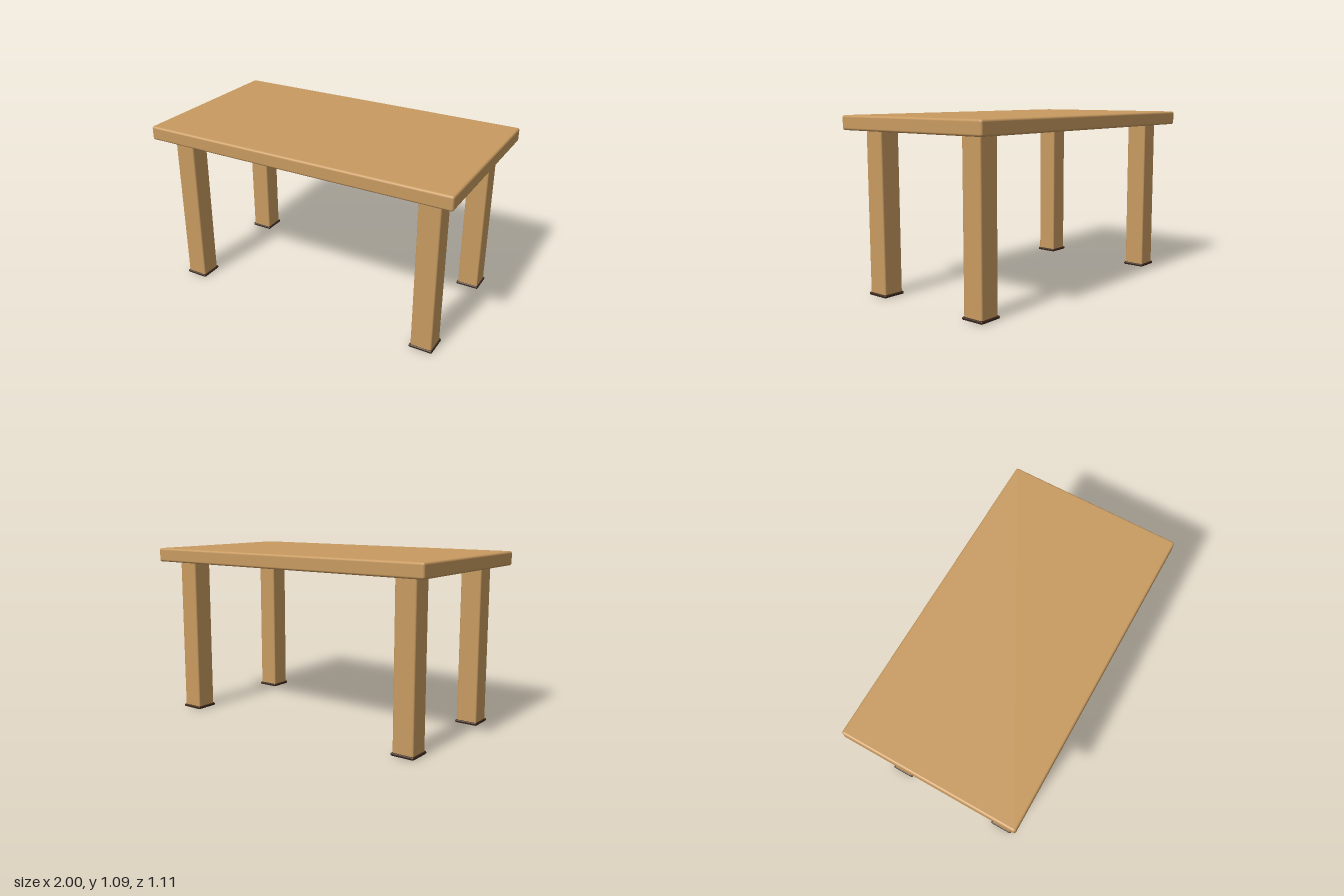
import * as THREE from 'three';
import { RoundedBoxGeometry } from 'three/addons/geometries/RoundedBoxGeometry.js';

export function createModel() {
  const wood = new THREE.MeshStandardMaterial({ color: 0xc89a60 });
  wood.name = 'oak wood';
  const dark = new THREE.MeshStandardMaterial({ color: 0x3a261a });
  dark.name = 'dark brown';

  const table = new THREE.Group();
  table.name = 'table';

  // Rounded block given by its size and its lower and upper heights
  const block = (name, width, depth, y0, y1, radius, material) => {
    const geometry = new RoundedBoxGeometry(width, y1 - y0, depth, 4, radius);
    const mesh = new THREE.Mesh(geometry, material);
    mesh.name = name;
    mesh.position.y = (y0 + y1) / 2;
    return mesh;
  };

  // Table top
  table.add(block('tableTop', 2, 1.11, 1.002, 1.09, 0.014, wood));

  // Four square legs, each with a dark band just above the floor
  for (const [side, x] of [['Left', 0.835], ['Right', -0.835]]) {
    for (const [end, z] of [['front', 0.39], ['back', -0.39]]) {
      const leg = new THREE.Group();
      leg.name = `${end}${side}Leg`;
      leg.add(block('post', 0.134, 0.134, 0, 1.003, 0.01, wood));
      leg.add(block('footBand', 0.149, 0.149, 0.002, 0.02, 0.008, dark));
      leg.position.set(x, 0, z);
      table.add(leg);
    }
  }
  return table;
}
